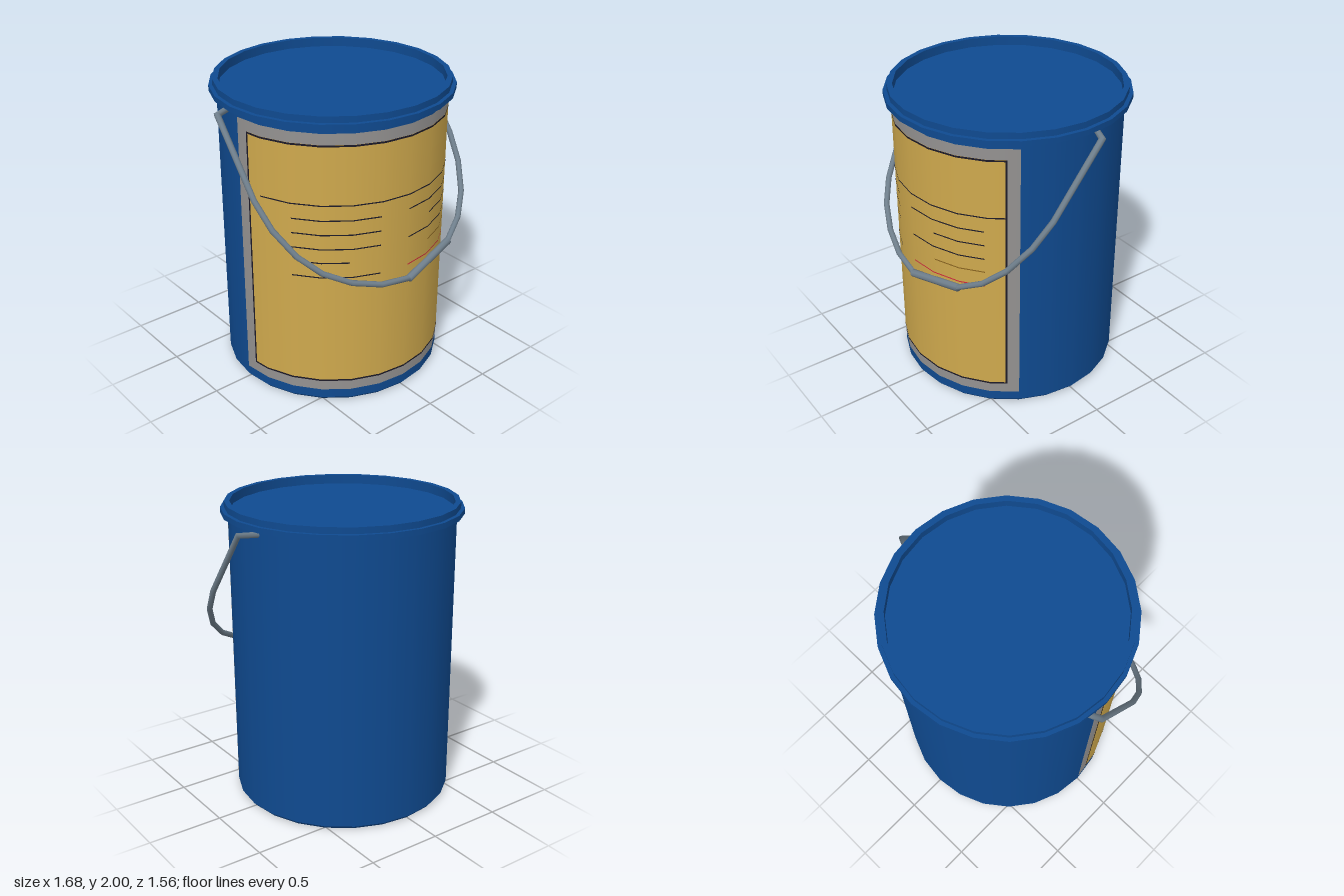
import * as THREE from 'three';
import { mergeGeometries } from 'three/addons/utils/BufferGeometryUtils.js';

const SIDES = 24;
const STEP = (Math.PI * 2) / SIDES;
const R = 0.732;
const deg = THREE.MathUtils.degToRad;

function paint(name, color, side = THREE.FrontSide) {
  const m = new THREE.MeshStandardMaterial({ color, side });
  m.name = name;
  return m;
}

// Turned shape with a crisp edge at every profile point
function turned(profile) {
  const bands = [];
  for (let i = 0; i < profile.length - 1; i++) {
    const pts = [profile[i], profile[i + 1]].map(([x, y]) => new THREE.Vector2(x, y));
    bands.push(new THREE.LatheGeometry(pts, SIDES));
  }
  return mergeGeometries(bands);
}

// Thin panel that hugs the faceted wall between two angles and two heights
function wallPanel(a0, a1, y0, y1, lift) {
  const angles = [a0];
  for (let k = Math.ceil(a0 / STEP + 1e-6); k * STEP < a1 - 1e-6; k++) angles.push(k * STEP);
  angles.push(a1);
  const pos = [], nor = [], idx = [];
  angles.forEach((a, i) => {
    const mid = (Math.floor(a / STEP + 1e-6) + 0.5) * STEP;
    const r = (R * Math.cos(STEP / 2)) / Math.cos(a - mid) + lift;
    const s = Math.sin(a), c = Math.cos(a);
    pos.push(r * s, y0, r * c, r * s, y1, r * c);
    nor.push(s, 0, c, s, 0, c);
    const k = i * 2;
    if (i < angles.length - 1) idx.push(k, k + 2, k + 1, k + 1, k + 2, k + 3);
  });
  const g = new THREE.BufferGeometry();
  g.setAttribute('position', new THREE.Float32BufferAttribute(pos, 3));
  g.setAttribute('normal', new THREE.Float32BufferAttribute(nor, 3));
  g.setIndex(idx);
  return g;
}

// Mitred round rod along a bent path lying close to a plane
function rod(points, radius, planeNormal, sides = 8) {
  const pos = [], idx = [];
  const last = points.length - 1;
  const dir = (i) => points[i + 1].clone().sub(points[i]).normalize();
  points.forEach((p, i) => {
    const a = dir(Math.max(i - 1, 0)), b = dir(Math.min(i, last - 1));
    const t = a.clone().add(b).normalize();
    const side = planeNormal.clone().cross(t).normalize();
    const up = t.clone().cross(side);
    const stretch = 1 / Math.max(t.dot(b), 0.6);
    for (let j = 0; j < sides; j++) {
      const w = (j / sides) * Math.PI * 2;
      const v = p.clone()
        .addScaledVector(side, Math.cos(w) * radius * stretch)
        .addScaledVector(up, Math.sin(w) * radius);
      pos.push(v.x, v.y, v.z);
      if (i < last) {
        const k = i * sides + j, n = i * sides + ((j + 1) % sides);
        idx.push(k, n, k + sides, n, n + sides, k + sides);
      }
    }
  });
  // End caps
  const e = last * sides;
  for (let j = 1; j < sides - 1; j++) idx.push(0, j + 1, j, e, e + j, e + j + 1);
  const g = new THREE.BufferGeometry();
  g.setAttribute('position', new THREE.Float32BufferAttribute(pos, 3));
  g.setIndex(idx);
  g.computeVertexNormals();
  return g;
}

export function createModel() {
  const model = new THREE.Group();
  model.name = 'paintBucket';
  const blue = paint('bucketBlue', 0x0f4a90);
  const steel = paint('handleSteel', 0x6f7f8c, THREE.DoubleSide);
  const yellow = paint('labelYellow', 0xcfa94d, THREE.DoubleSide);
  const grey = paint('labelGrey', 0x949291, THREE.DoubleSide);
  const ink = paint('labelInk', 0x1c1a28, THREE.DoubleSide);
  const brown = paint('labelBrown', 0x8a6520, THREE.DoubleSide);
  const red = paint('labelRed', 0xd02a3c, THREE.DoubleSide);

  const add = (name, geometry, material, parent = model) => {
    const mesh = new THREE.Mesh(geometry, material);
    mesh.name = name;
    parent.add(mesh);
    return mesh;
  };

  // Bucket wall and base, with a small bevel at the foot
  add('bucketBody', turned([[0, 0], [0.715, 0], [R, 0.02], [R, 1.93]]), blue);

  // Lid with a stepped rim and a sunken top
  add('lid', turned([
    [0.72, 1.925], [0.78, 1.925], [0.78, 1.96], [0.755, 1.96],
    [0.755, 2], [0.72, 2], [0.72, 1.94], [0, 1.94],
  ]), blue);

  // Wrapped label: grey border, yellow field, dark frame
  const label = new THREE.Group();
  label.name = 'label';
  model.add(label);
  const left = deg(-84), right = deg(54), low = 0.153, high = 1.815, t = 0.012;
  add('labelBorder', wallPanel(deg(-90), deg(60), 0.083, 1.885, 0.001), grey, label);
  add('labelField', wallPanel(left, right, low, high, 0.003), yellow, label);
  add('labelFrame', mergeGeometries([
    wallPanel(left, right, low, low + t, 0.005),
    wallPanel(left, right, high - t, high, 0.005),
    wallPanel(left, left + t / R, low, high, 0.005),
    wallPanel(right - t / R, right, low, high, 0.005),
  ]), ink, label);

  // Printed rules on the label: x from, x to, height
  const rule = ([x0, x1, y]) =>
    wallPanel(Math.asin(x0 / R), Math.asin(x1 / R), y - 0.004, y + 0.004, 0.005);
  add('darkRules', mergeGeometries([
    [-0.71, 0.59, 1.425],
    [-0.63, -0.2, 1.325], [-0.63, -0.2, 1.228], [-0.63, -0.2, 1.13],
    [-0.56, -0.38, 1.035], [-0.63, -0.2, 0.933],
    [0, 0.5, 1.325], [0.2, 0.5, 1.228], [0, 0.5, 1.13],
  ].map(rule)), ink, label);
  add('brownRule', rule([0.2, 0.5, 1.035]), brown, label);
  add('redRule', rule([0, 0.5, 0.933]), red, label);

  // Tilted wire handle, mirrored about the middle
  const slope = 0.785;
  const onPlane = ([x, y]) => new THREE.Vector3(x, y, -0.08 + (1.9 - y) * slope);
  const half = [[0.82, 1.895], [0.82, 1.46], [0.785, 1.3], [0.7, 1.145], [0.58, 1.025], [0.41, 0.93]];
  const normal = new THREE.Vector3(0, slope, 1).normalize();
  const anchor = (s) => new THREE.Vector3(s * 0.7, 1.895, -0.13);
  const mirrored = half.map(([x, y]) => [-x, y]);
  const handle = new THREE.Group();
  handle.name = 'handle';
  model.add(handle);
  add('handleLeft', rod([anchor(1), ...half.map(onPlane)], 0.019, normal), steel, handle);
  add('handleRight', rod(
    [anchor(-1), ...[...mirrored, [-0.21, 0.865], [0, 0.84]].map(onPlane)], 0.019, normal), steel, handle);
  add('handleGrip', rod([[0.42, 0.932], [0, 0.838]].map(onPlane), 0.025, normal), steel, handle);

  return model;
}
